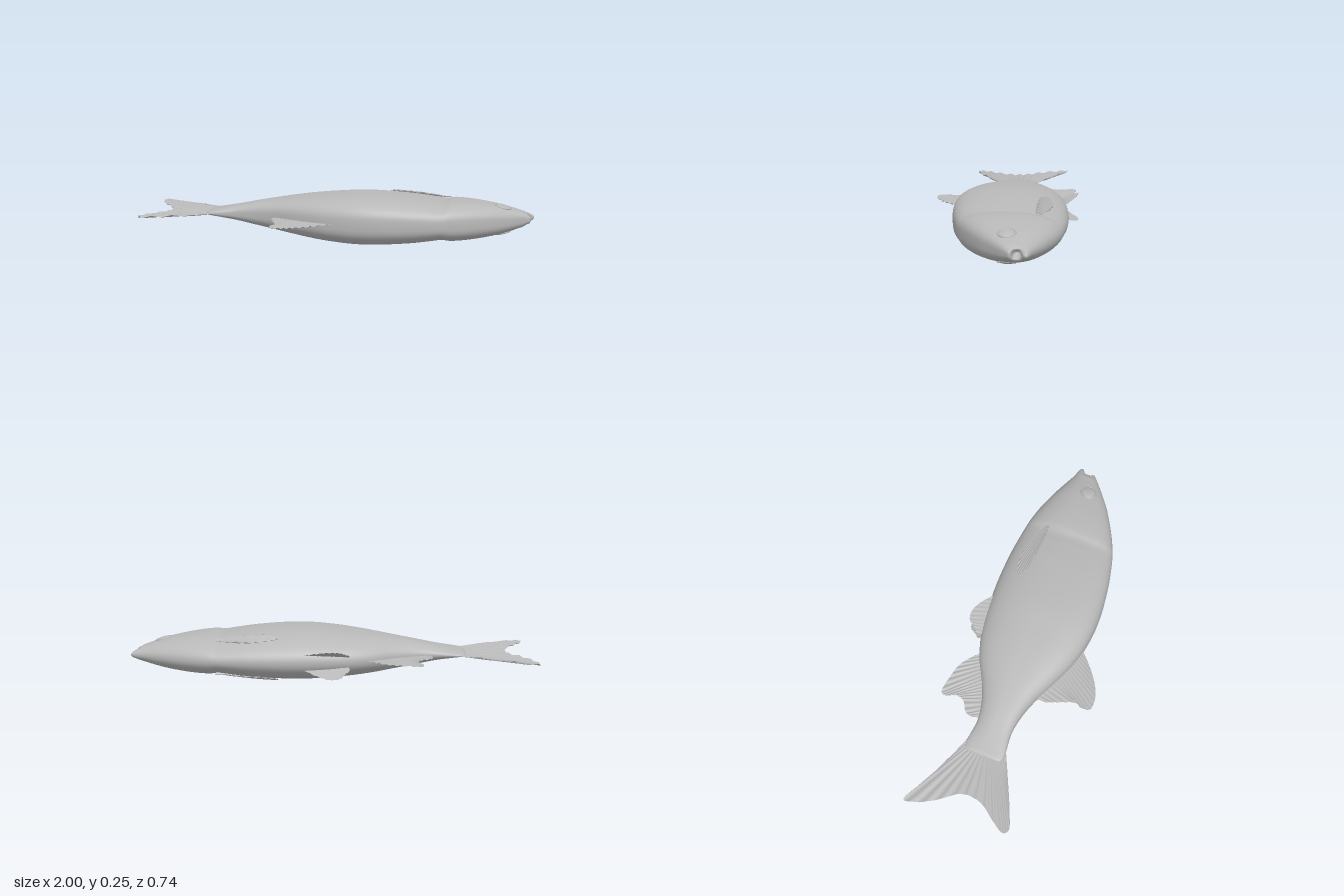
import * as THREE from 'three';

const skin = new THREE.MeshStandardMaterial({ color: 0xb8b8b8, side: THREE.DoubleSide });
skin.name = 'grey skin';
const MID = 0.125; // height of the plane of symmetry; the fish lies on its side

// Body stations: x, belly z, back z, half width
const STATIONS = [
  [-0.655, -0.11, 0.035, 0.003], [-0.645, -0.132, 0.055, 0.011], [-0.6, -0.14, 0.062, 0.02],
  [-0.5, -0.132, 0.05, 0.04], [-0.4, -0.152, 0.062, 0.06], [-0.3, -0.195, 0.092, 0.077],
  [-0.2, -0.25, 0.137, 0.092], [-0.1, -0.288, 0.18, 0.105], [0, -0.31, 0.212, 0.115],
  [0.13, -0.325, 0.231, 0.124], [0.26, -0.332, 0.23, 0.122], [0.4, -0.33, 0.212, 0.112],
  [0.5, -0.322, 0.19, 0.1], [0.56, -0.316, 0.174, 0.092], [0.61, -0.309, 0.156, 0.098],
  [0.7, -0.287, 0.113, 0.092], [0.8, -0.252, 0.055, 0.077], [0.87, -0.223, 0.005, 0.061],
  [0.93, -0.197, -0.043, 0.043], [0.965, -0.183, -0.073, 0.033], [0.985, -0.172, -0.09, 0.026],
];
const curveOf = (f) => new THREE.CatmullRomCurve3(STATIONS.map(f), false, 'catmullrom');
const outline = curveOf((s) => new THREE.Vector3(s[0], s[1], s[2]));
const widths = curveOf((s) => new THREE.Vector3(s[0], s[3], 0));

// The back is blunt and the belly is rounder
const power = (c) => (c > 0 ? 2 / 3 : 2 / 2.1);
const sgnPow = (v, p) => Math.sign(v) * Math.abs(v) ** p;

// Height of the upper flank above (x, z)
function flankY(x, z) {
  let lo = 0, hi = 1;
  for (let i = 0; i < 30; i++) {
    const m = (lo + hi) / 2;
    if (outline.getPoint(m).x < x) lo = m; else hi = m;
  }
  const o = outline.getPoint(lo);
  const c = (z - (o.y + o.z) / 2) / ((o.z - o.y) / 2);
  const n = c > 0 ? 3 : 2.1;
  return MID + widths.getPoint(lo).y * Math.max(0, 1 - Math.abs(c) ** n) ** (1 / n);
}

// Surface through rows of points
function loft(rows, closed) {
  const n = rows[0].length, index = [];
  for (let i = 0; i < rows.length - 1; i++) {
    for (let j = 0; j < (closed ? n : n - 1); j++) {
      const k = (j + 1) % n, a = i * n, b = a + n;
      index.push(a + j, b + j, a + k, b + j, b + k, a + k);
    }
  }
  const g = new THREE.BufferGeometry();
  g.setAttribute('position', new THREE.Float32BufferAttribute(rows.flat(2), 3));
  g.setIndex(index);
  g.computeVertexNormals();
  return g;
}

function add(parent, name, geometry) {
  const mesh = new THREE.Mesh(geometry, skin);
  mesh.name = name;
  parent.add(mesh);
  return mesh;
}

// One cross-section; lip pulls the corners of the mouth back
function ring(x, z0, z1, w, lip = 0) {
  const pts = [];
  for (let j = 0; j < 64; j++) {
    const t = (j / 64) * Math.PI * 2, c = Math.cos(t), s = Math.sin(t), p = power(c);
    const dx = lip * (c < 0 ? 0.015 * c * c - 0.018 * s * s : -0.018 * s * s);
    pts.push([x + dx, MID + w * sgnPow(s, p), (z0 + z1) / 2 + ((z1 - z0) / 2) * sgnPow(c, p)]);
  }
  return pts;
}

function bodyGeometry() {
  const rows = [ring(-0.657, -0.04, -0.036, 0.001)];
  for (let i = 0; i <= 120; i++) {
    const o = outline.getPoint(i / 120);
    rows.push(ring(o.x, o.y, o.z, widths.getPoint(i / 120).y, THREE.MathUtils.smoothstep(o.x, 0.94, 0.985)));
  }
  // Lips roll inward to an open mouth
  rows.push(ring(0.985, -0.158, -0.1, 0.019, 1), ring(0.97, -0.15, -0.105, 0.016, 0.8));
  rows.push(ring(0.93, -0.142, -0.112, 0.01), ring(0.925, -0.128, -0.127, 0.001));
  return loft(rows, true);
}

// Rayed fin between a root curve and a free edge, given as [x, z]; height sets y
function finGeometry(root, edge, rays, height, ripple = 0.003) {
  const toCurve = (pts) => new THREE.CatmullRomCurve3(pts.map(([x, z]) => new THREE.Vector3(x, 0, z)));
  const a = toCurve(root), b = toCurve(edge), rows = [], n = rays * 4, steps = 10;
  for (let i = 0; i <= steps; i++) {
    const v = i / steps, row = [];
    for (let j = 0; j <= n; j++) {
      const p = a.getPoint(j / n).lerp(b.getPoint(j / n), v);
      const wave = ripple * Math.sin((j / 4) * Math.PI * 2) * Math.min(1, 0.3 + v);
      row.push([p.x, height(p.x, p.z) + wave, p.z]);
    }
    rows.push(row);
  }
  return loft(rows, false);
}

export function createModel() {
  const fish = new THREE.Group();
  fish.name = 'fish';
  add(fish, 'body', bodyGeometry());

  // Fins in the plane of symmetry
  const flat = () => MID;
  add(fish, 'tailFin', finGeometry(
    [[-0.6, -0.14], [-0.63, -0.09], [-0.635, -0.04], [-0.63, 0.01], [-0.6, 0.065]],
    [[-0.77, -0.2], [-0.9, -0.262], [-0.997, -0.305], [-0.98, -0.23], [-0.93, -0.145], [-0.872, -0.07],
      [-0.86, -0.015], [-0.875, 0.055], [-0.93, 0.135], [-0.965, 0.2], [-0.945, 0.222], [-0.85, 0.188], [-0.72, 0.125]],
    15, flat, 0.005));
  add(fish, 'dorsalFin', finGeometry(
    [[0.04, 0.2], [-0.05, 0.18], [-0.15, 0.14], [-0.285, 0.08]],
    [[0.03, 0.225], [-0.05, 0.298], [-0.12, 0.345], [-0.18, 0.366], [-0.235, 0.362], [-0.245, 0.32],
      [-0.232, 0.285], [-0.262, 0.2], [-0.285, 0.145]],
    18, flat));
  add(fish, 'analFin', finGeometry(
    [[-0.16, -0.24], [-0.25, -0.2], [-0.36, -0.15], [-0.48, -0.12]],
    [[-0.19, -0.278], [-0.26, -0.328], [-0.34, -0.349], [-0.432, -0.356], [-0.441, -0.33], [-0.42, -0.28],
      [-0.43, -0.24], [-0.485, -0.2], [-0.492, -0.165]],
    18, flat));

  // Paired parts, made on the upper flank and mirrored to the lower one
  const pair = (name, geometry, place) => {
    for (const side of [1, -1]) {
      const holder = new THREE.Group();
      holder.name = (side > 0 ? 'upper ' : 'lower ') + name;
      holder.scale.y = side;
      holder.position.y = side > 0 ? 0 : 2 * MID;
      const mesh = add(holder, name, geometry);
      if (place) place(mesh);
      fish.add(holder);
    }
  };

  pair('pelvicFin', finGeometry(
    [[0.13, -0.305], [0.06, -0.3], [-0.02, -0.295], [-0.08, -0.285]],
    [[0.13, -0.315], [0.06, -0.357], [0, -0.376], [-0.045, -0.367], [-0.06, -0.345], [-0.09, -0.31]],
    10, (x, z) => MID + 0.03 + (-0.3 - z) * 0.48, 0.002));

  pair('pectoralFin', finGeometry(
    [[0.575, -0.212], [0.58, -0.2], [0.575, -0.186]],
    [[0.48, -0.243], [0.38, -0.261], [0.3, -0.25], [0.265, -0.229], [0.3, -0.203], [0.36, -0.192], [0.48, -0.184]],
    12, (x, z) => flankY(x, z) + 0.006, 0.004));

  // Eyes sit along the slope of the head
  const ex = 0.85, ez = -0.075, e = 0.02;
  const normal = new THREE.Vector3(
    (flankY(ex - e, ez) - flankY(ex + e, ez)) / (2 * e), 1,
    (flankY(ex, ez - e) - flankY(ex, ez + e)) / (2 * e)).normalize();
  const seat = (mesh) => {
    mesh.position.set(ex, flankY(ex, ez) - 0.001, ez);
    mesh.quaternion.setFromUnitVectors(new THREE.Vector3(0, 1, 0), normal);
  };
  pair('eyeball', new THREE.SphereGeometry(0.036, 32, 16).scale(1, 0.24, 1), seat);
  pair('eyeRim', new THREE.TorusGeometry(0.039, 0.004, 8, 40).rotateX(Math.PI / 2), seat);
  return fish;
}
